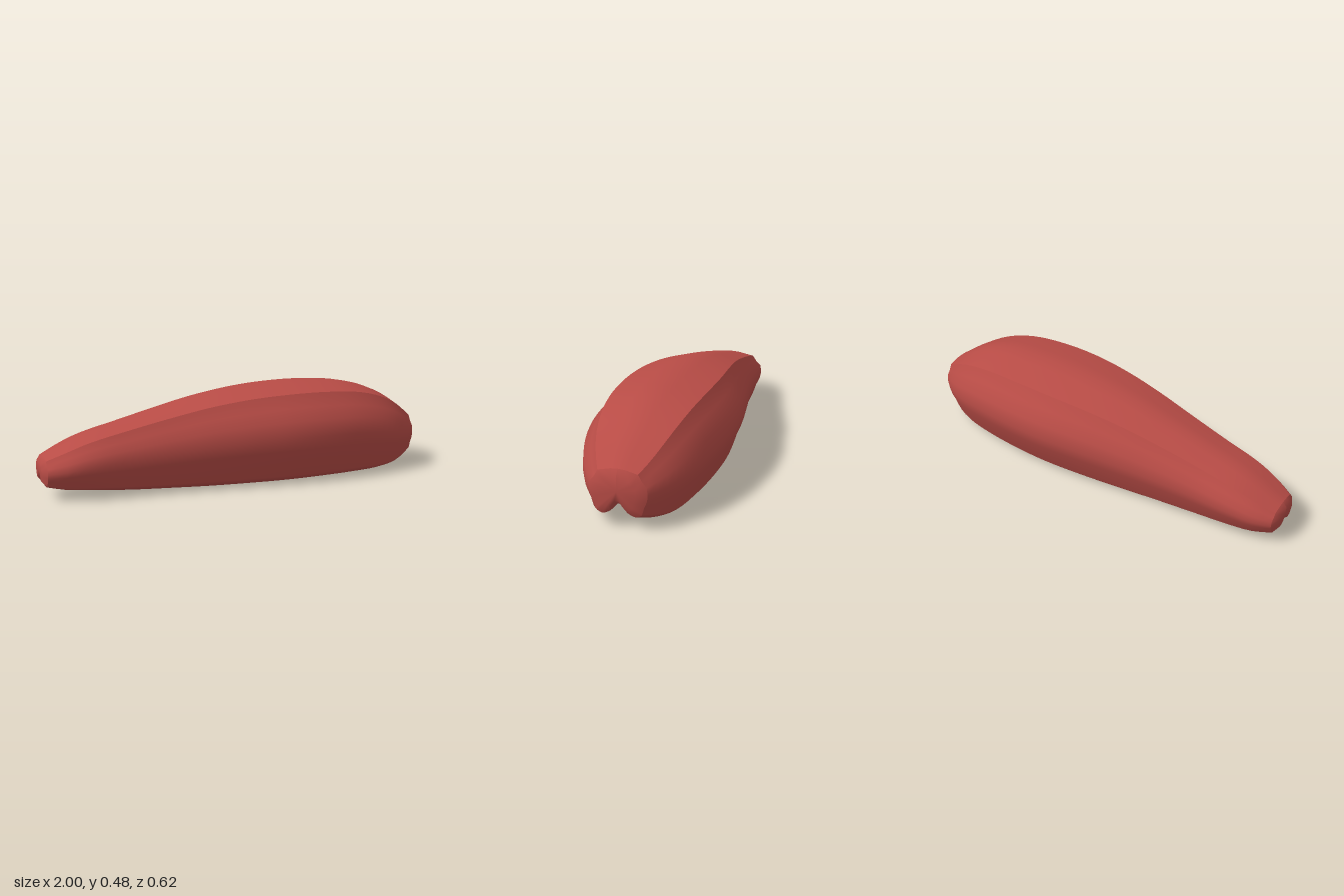
import * as THREE from 'three';

// Half cross-section, top centre to groove centre: [share of half width, share of height]
const HALF = [
  [0, 1], [0.24, 0.99], [0.69, 0.925], [0.81, 0.79], [0.97, 0.67], [1, 0.5], [0.97, 0.37],
  [0.87, 0.23], [0.8, 0.08], [0.74, 0.04], [0.58, 0], [0.45, 0.02], [0.3, 0.07],
  [0.12, 0.22], [0.05, 0.25], [0, 0.25],
];
const SHOULDER = 2, GROOVE = 14;
const LOOP = [...HALF, ...HALF.slice(1, -1).reverse().map(([z, y]) => [-z, y])];
const N = LOOP.length;

// Stations along the length: x, then top, bottom and half width
const X = [-0.98, -0.9, -0.8, -0.6, -0.4, -0.2, 0, 0.2, 0.4, 0.6, 0.75, 0.85, 0.92, 0.98];
const SIZE = [
  0.2, 0.065, 0.11, 0.238, 0.05, 0.148, 0.28, 0.04, 0.169, 0.335, 0.022, 0.187,
  0.385, 0.012, 0.213, 0.43, 0.005, 0.247, 0.46, 0.002, 0.281, 0.474, 0, 0.305,
  0.474, 0, 0.306, 0.456, 0, 0.286, 0.415, 0.002, 0.253, 0.365, 0.015, 0.215,
  0.315, 0.038, 0.174, 0.27, 0.063, 0.128,
];
const sizes = new THREE.CubicInterpolant(X, SIZE, 3, new Float32Array(3));

// One ring of the body; scale shrinks it towards its middle for the end caps
function ring(x, scale = 1, atX = x) {
  const [top, bottom, half] = sizes.evaluate(x);
  return LOOP.map(([z, y]) => [
    atX, bottom + (top - bottom) * (0.55 + (y - 0.55) * scale), z * half * scale,
  ]);
}

// Smooth strip across rings, from loop index first to last
function strip(name, rings, first, last, material) {
  const width = last - first + 1, positions = [], index = [];
  rings.forEach((r, i) => {
    for (let j = 0; j < width; j++) {
      positions.push(...r[(first + j + N) % N]);
      if (i === rings.length - 1 || j === width - 1) continue;
      const a = i * width + j, c = a + width;
      index.push(a, a + 1, c, a + 1, c + 1, c);
    }
  });
  const geometry = new THREE.BufferGeometry();
  geometry.setAttribute('position', new THREE.Float32BufferAttribute(positions, 3));
  geometry.setIndex(index);
  geometry.computeVertexNormals();
  const mesh = new THREE.Mesh(geometry, material);
  mesh.name = name;
  return mesh;
}

export function createModel() {
  const red = new THREE.MeshStandardMaterial({ color: 0xb84c46 });
  red.name = 'red';
  const group = new THREE.Group();
  group.name = 'groovedShell';

  const rings = [];
  for (let i = 0; i <= 48; i++) rings.push(ring(-0.98 + (1.96 * i) / 48));

  // Body panels, split where the surface has a sharp edge
  group.add(
    strip('topPanel', rings, -SHOULDER, SHOULDER, red),
    strip('frontSide', rings, SHOULDER, GROOVE, red),
    strip('grooveCeiling', rings, GROOVE, N - GROOVE, red),
    strip('backSide', rings, N - GROOVE, N - SHOULDER, red),
  );

  // Slightly bulging end caps
  const cap = (x, end) => [ring(x), ring(x, 0.65, end), ring(x, 0, end)];
  group.add(
    strip('leftCap', cap(0.98, 1), 0, N, red),
    strip('rightCap', cap(-0.98, -1).reverse(), 0, N, red),
  );
  return group;
}
